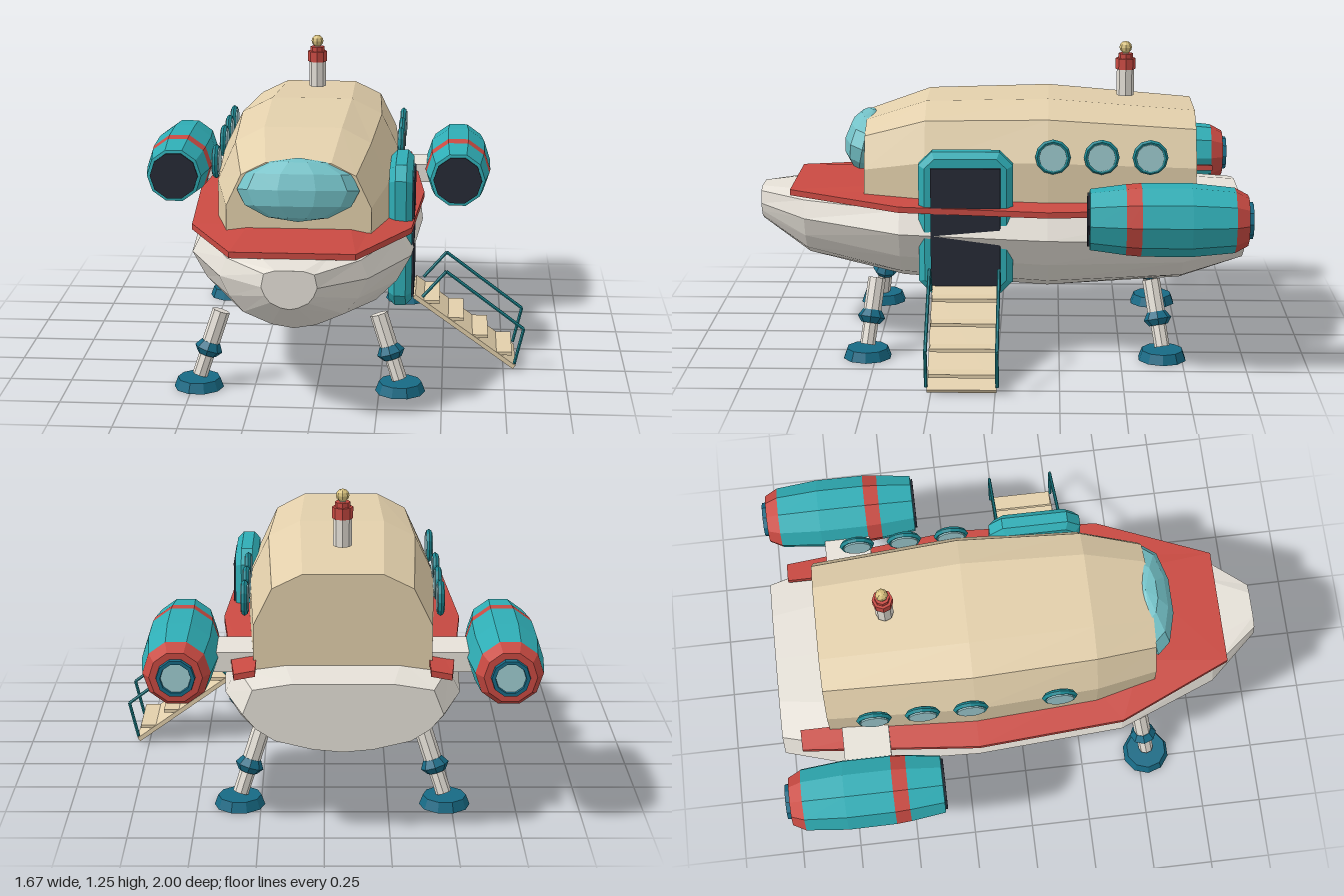
import * as THREE from 'three';

const mat = (color) => new THREE.MeshStandardMaterial({ color, flatShading: true });
const WHITE = mat(0xe6e1d8), TAN = mat(0xe2cfab), RED = mat(0xc94a42), TEAL = mat(0x2fadb5),
  RING = mat(0x1c8791), BLUE = mat(0x176a85), DARK = mat(0x262a36), GLASS = mat(0x9fcdd2),
  SHIELD = mat(0x74c2c8), GOLD = mat(0xd9c27e);

function add(parent, name, geo, material, x = 0, y = 0, z = 0) {
  const m = new THREE.Mesh(geo, material);
  m.name = name;
  m.position.set(x, y, z);
  parent.add(m);
  return m;
}

// Skin over closed rings of [x, y, z]; rings run counter-clockwise seen along the path
function loft(rings) {
  const n = rings[0].length, last = (rings.length - 1) * n, idx = [];
  for (let i = 0; i < rings.length - 1; i++) {
    for (let j = 0; j < n; j++) {
      const k = (j + 1) % n, a = i * n + j, b = i * n + k, c = b + n, d = a + n;
      idx.push(a, d, c, a, c, b);
    }
  }
  for (let j = 1; j < n - 1; j++) idx.push(0, j, j + 1, last, last + j + 1, last + j);
  const g = new THREE.BufferGeometry();
  g.setAttribute('position', new THREE.Float32BufferAttribute(rings.flat(2), 3));
  g.setIndex(idx);
  g.computeVertexNormals();
  return g;
}

// Mirror a right half-section (bottom to top) into a closed ring at z
function mirrored(half, z) {
  const left = half.filter((p) => p[0] > 0).reverse().map(([x, y]) => [-x, y]);
  return [...half, ...left].map(([x, y]) => [x, y, z]);
}

// Cylinder between two points
function rod(parent, name, a, b, r0, r1, sides, material) {
  const A = new THREE.Vector3(...a), B = new THREE.Vector3(...b), d = B.clone().sub(A);
  const m = add(parent, name, new THREE.CylinderGeometry(r1, r0, d.length(), sides), material);
  m.position.copy(A).add(B).multiplyScalar(0.5);
  m.quaternion.setFromUnitVectors(new THREE.Vector3(0, 1, 0), d.normalize());
  return m;
}

function buildBody(ship) {
  // Hull: z, half width, top, widest edge, keel
  const hull = [
    [1, 0.105, 0.635, 0.57, 0.485], [0.8, 0.285, 0.64, 0.55, 0.345], [0.4, 0.44, 0.635, 0.525, 0.255],
    [-0.2, 0.475, 0.63, 0.51, 0.215], [-0.75, 0.45, 0.625, 0.5, 0.255], [-1, 0.375, 0.62, 0.5, 0.35],
  ];
  const lower = [[0, 1], [0.3, 0.93], [0.68, 0.7], [0.87, 0.39], [1, 0]];
  const upper = [[0.9, 0.8], [0.5, 1], [0, 1]];
  add(ship, 'hull', loft(hull.map(([z, w, top, edge, keel]) => mirrored([
    ...lower.map(([u, t]) => [u * w, edge + t * (keel - edge)]),
    ...upper.map(([u, t]) => [u * w, edge + t * (top - edge)]),
  ], z))), WHITE);

  // Cabin: z, half width, roof height
  const cabin = [[0.55, 0.285, 0.935], [0.3, 0.345, 1.02], [-0.2, 0.375, 1.033], [-0.8, 0.34, 0.985]];
  const wall = [[1, 0], [1, 0.5], [0.79, 0.86], [0.45, 1]];
  add(ship, 'cabin', loft(cabin.map(([z, w, top]) =>
    mirrored(wall.map(([u, t]) => [u * w, 0.58 + t * (top - 0.58)]), z))), TAN);

  // Red deck: U-shaped band, outer [x, y, z] and inner [x, y, z]
  const deck = [
    [[0.41, 0.63, -0.92], [0.33, 0.645, -0.92]], [[0.48, 0.63, -0.2], [0.33, 0.65, -0.2]],
    [[0.44, 0.64, 0.4], [0.29, 0.655, 0.3]], [[0.24, 0.662, 0.86], [0.2, 0.672, 0.5]],
  ];
  const flip = ([x, y, z]) => [-x, y, z];
  const path = [...deck, ...deck.slice().reverse().map(([o, i]) => [flip(o), flip(i)])];
  const drop = ([x, y, z]) => [x, y - 0.024, z];
  add(ship, 'deckBand', loft(path.map(([o, i]) => [drop(o), drop(i), i, o])), RED);

  // Windshield
  const shield = add(ship, 'windshield', new THREE.SphereGeometry(1, 10, 6), SHIELD, 0, 0.83, 0.56);
  shield.scale.set(0.24, 0.125, 0.09);
  shield.rotation.x = -0.22;

  // Portholes: three on the door side, four on the other
  for (const [side, zs] of [[1, [-0.22, -0.415, -0.61]], [-1, [0.14, -0.22, -0.415, -0.61]]]) {
    for (const z of zs) {
      const p = new THREE.Group();
      p.name = 'porthole';
      p.position.set(side * (z > 0 ? 0.37 : 0.378), 0.835, z);
      p.rotation.y = side * Math.PI / 2;
      add(p, 'portholeRing', new THREE.TorusGeometry(0.06, 0.012, 5, 12), RING);
      add(p, 'portholeGlass', new THREE.CylinderGeometry(0.056, 0.056, 0.03, 12), GLASS).rotation.x = Math.PI / 2;
      ship.add(p);
    }
  }

  // Antenna
  const mast = [[0.036, 1.02, 1.13, WHITE], [0.041, 1.13, 1.175, RED], [0.03, 1.175, 1.195, RED], [0.012, 1.19, 1.21, WHITE]];
  for (const [r, y0, y1, m] of mast) {
    add(ship, 'antennaMast', new THREE.CylinderGeometry(r, r, y1 - y0, 8), m, 0, (y0 + y1) / 2, -0.52);
  }
  add(ship, 'antennaBall', new THREE.SphereGeometry(0.026, 8, 6), GOLD, 0, 1.22, -0.52);
}

function buildEngine(ship, side) {
  const e = new THREE.Group();
  e.name = side > 0 ? 'leftEngine' : 'rightEngine';
  e.position.set(side * 0.622, 0.64, 0);
  e.rotation.x = Math.PI / 2;
  const shell = (name, m, pts) => add(e, name,
    new THREE.LatheGeometry(pts.map(([r, z]) => new THREE.Vector2(r, z)), 10, Math.PI / 10), m);
  shell('nozzleRim', BLUE, [[0.055, -0.985], [0.058, -1], [0.072, -1], [0.075, -0.97]]);
  shell('nozzleGlass', GLASS, [[0, -0.99], [0.06, -0.99]]);
  shell('tailBand', RED, [[0.065, -0.982], [0.1, -0.982], [0.128, -0.93]]);
  shell('engineBody', TEAL, [[0.128, -0.93], [0.145, -0.76], [0.144, -0.565]]);
  shell('engineStripe', RED, [[0.144, -0.565], [0.139, -0.505]]);
  shell('engineNose', TEAL, [[0.139, -0.505], [0.12, -0.365], [0.1, -0.362]]);
  shell('intake', DARK, [[0.106, -0.38], [0.106, -0.355], [0, -0.355]]);
  ship.add(e);
  add(ship, 'enginePylon', new THREE.BoxGeometry(0.2, 0.08, 0.19), WHITE, side * 0.41, 0.62, -0.655);
}

function buildLeg(ship, side, zFoot, zTop) {
  const leg = new THREE.Group();
  leg.name = 'landingLeg';
  const top = [side * 0.315, 0.31, zTop], foot = [side * 0.4, 0.05, zFoot];
  const at = (t) => top.map((v, i) => v + (foot[i] - v) * t);
  rod(leg, 'upperStrut', at(0.62), top, 0.036, 0.036, 8, WHITE);
  rod(leg, 'lowerStrut', at(1), at(0.6), 0.031, 0.031, 8, WHITE);
  rod(leg, 'jointLower', at(0.68), at(0.59), 0.038, 0.057, 8, BLUE);
  rod(leg, 'jointUpper', at(0.59), at(0.48), 0.057, 0.038, 8, BLUE);
  const pad = add(leg, 'footPad', new THREE.CylinderGeometry(0.085, 0.1, 0.04, 10), BLUE, side * 0.404, 0.02, zFoot);
  pad.rotation.y = Math.PI / 2;
  ship.add(leg);
}

function buildDoor(ship) {
  // Chamfered frame with a dark doorway
  const w = 0.165, h = 0.27, c = 0.04;
  const outline = [[-w + c, -h], [w - c, -h], [w, -h + c], [w, h - c], [w - c, h], [-w + c, h], [-w, h - c], [-w, -h + c]];
  const shape = new THREE.Shape(outline.map(([x, y]) => new THREE.Vector2(x, y)));
  const frame = add(ship, 'doorFrame', new THREE.ExtrudeGeometry(shape,
    { depth: 0.045, bevelEnabled: true, bevelSize: 0.025, bevelThickness: 0.025, bevelSegments: 1 }), TEAL, 0.37, 0.567, 0.13);
  frame.rotation.y = Math.PI / 2;
  add(ship, 'doorway', new THREE.BoxGeometry(0.05, 0.49, 0.28), DARK, 0.423, 0.555, 0.13);
}

function buildStairs(ship) {
  const s = new THREE.Group();
  s.name = 'stairs';
  s.position.set(0.07, 0, 0.13);
  // Sloping board with treads
  const x0 = 0.38, y0 = 0.31, x1 = 0.795, y1 = 0.012, angle = Math.atan2(y1 - y0, x1 - x0);
  const board = add(s, 'stairBoard', new THREE.BoxGeometry(Math.hypot(x1 - x0, y1 - y0), 0.018, 0.27), TAN,
    (x0 + x1) / 2, (y0 + y1) / 2, 0);
  board.rotation.z = angle;
  for (let i = 0; i < 4; i++) {
    add(s, 'tread', new THREE.BoxGeometry(0.075, 0.014, 0.26), TAN, 0.447 + i * 0.1, 0.285 - i * 0.072, 0);
  }
  // Handrails on both sides
  const rail = [[0.415, 0.31], [0.51, 0.42], [0.83, 0.18], [0.795, 0.03]];
  for (const z of [-0.138, 0.138]) {
    for (let i = 0; i < 3; i++) rod(s, 'handrail', [...rail[i], z], [...rail[i + 1], z], 0.007, 0.007, 6, RING);
  }
  ship.add(s);
}

export function createModel() {
  const root = new THREE.Group();
  root.name = 'spaceship';
  const ship = new THREE.Group();
  ship.name = 'ship';
  ship.position.x = -0.07;
  root.add(ship);
  buildBody(ship);
  for (const side of [1, -1]) {
    buildEngine(ship, side);
    buildLeg(ship, side, 0.535, 0.5);
    buildLeg(ship, side, -0.67, -0.625);
  }
  buildDoor(ship);
  buildStairs(ship);
  return root;
}
